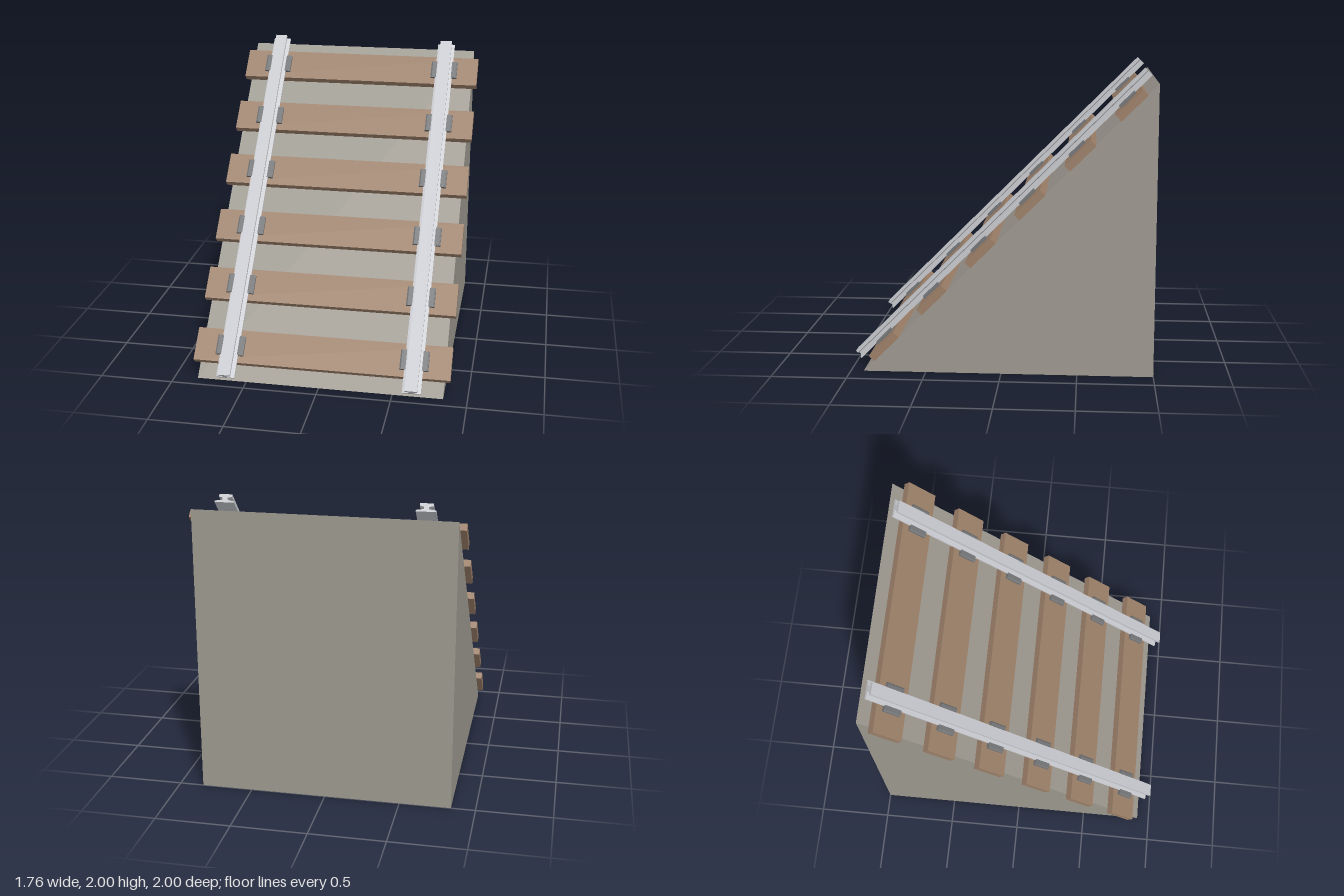
import * as THREE from 'three';

const S = Math.SQRT2;
const material = (color) => new THREE.MeshStandardMaterial({ color, flatShading: true });

// Extrude a closed outline along an axis through its own centre
function prism(points, depth, mat, name) {
  const shape = new THREE.Shape(points.map(([x, y]) => new THREE.Vector2(x, y)));
  const geo = new THREE.ExtrudeGeometry(shape, { depth, bevelEnabled: false });
  geo.translate(0, 0, -depth / 2);
  const mesh = new THREE.Mesh(geo, mat);
  mesh.name = name;
  return mesh;
}

// Turn the right half of an outline (bottom to top) into a symmetric one
const mirrored = (half) => [...half, ...half.map(([x, y]) => [-x, y]).reverse()];

export function createModel() {
  const model = new THREE.Group();
  model.name = 'slopedTrack';
  const stone = material(0x9c988f);
  const wood = material(0x9b7f68);
  const steel = material(0xc6c8cd);
  const iron = material(0x737476);

  // Solid ramp: triangle in z/y, extruded across x
  const ramp = prism([[-0.915, 0], [1, 0], [1, 1.915]], 1.68, stone, 'ramp');
  ramp.rotation.y = Math.PI / 2;
  model.add(ramp);

  // Track frame: local y is the slope normal, local z runs downhill
  const track = new THREE.Group();
  track.name = 'track';
  track.rotation.x = Math.PI / 4;
  model.add(track);

  const slope = 0.915 / S;
  const sleeperTop = slope + 0.05;
  const railBase = 0.998 / S;
  const railX = 0.633;

  // Sleepers with a chamfered rail chair under each rail
  const chairOutline = mirrored([[0.097, 0], [0.097, 0.014], [0.087, 0.02]]);
  for (let i = 0; i < 6; i++) {
    const z = (0.59 - 0.64 * i) / S;
    const sleeper = new THREE.Mesh(new THREE.BoxGeometry(1.76, 0.05, 0.233), wood);
    sleeper.name = 'sleeper';
    sleeper.position.set(0, slope + 0.025, z);
    track.add(sleeper);
    for (const side of [-1, 1]) {
      const chair = prism(chairOutline, 0.136, iron, 'railChair');
      chair.position.set(side * railX, sleeperTop, z);
      track.add(chair);
    }
  }

  // Rails: foot, narrow web and head
  const railOutline = mirrored([
    [0.063, 0], [0.063, 0.01], [0.016, 0.018], [0.016, 0.034], [0.042, 0.041], [0.042, 0.06],
  ]);
  for (const side of [-1, 1]) {
    const rail = prism(railOutline, 3.835 / S, steel, side > 0 ? 'leftRail' : 'rightRail');
    rail.position.set(side * railX, railBase, -1.003 / S);
    track.add(rail);
  }
  return model;
}
